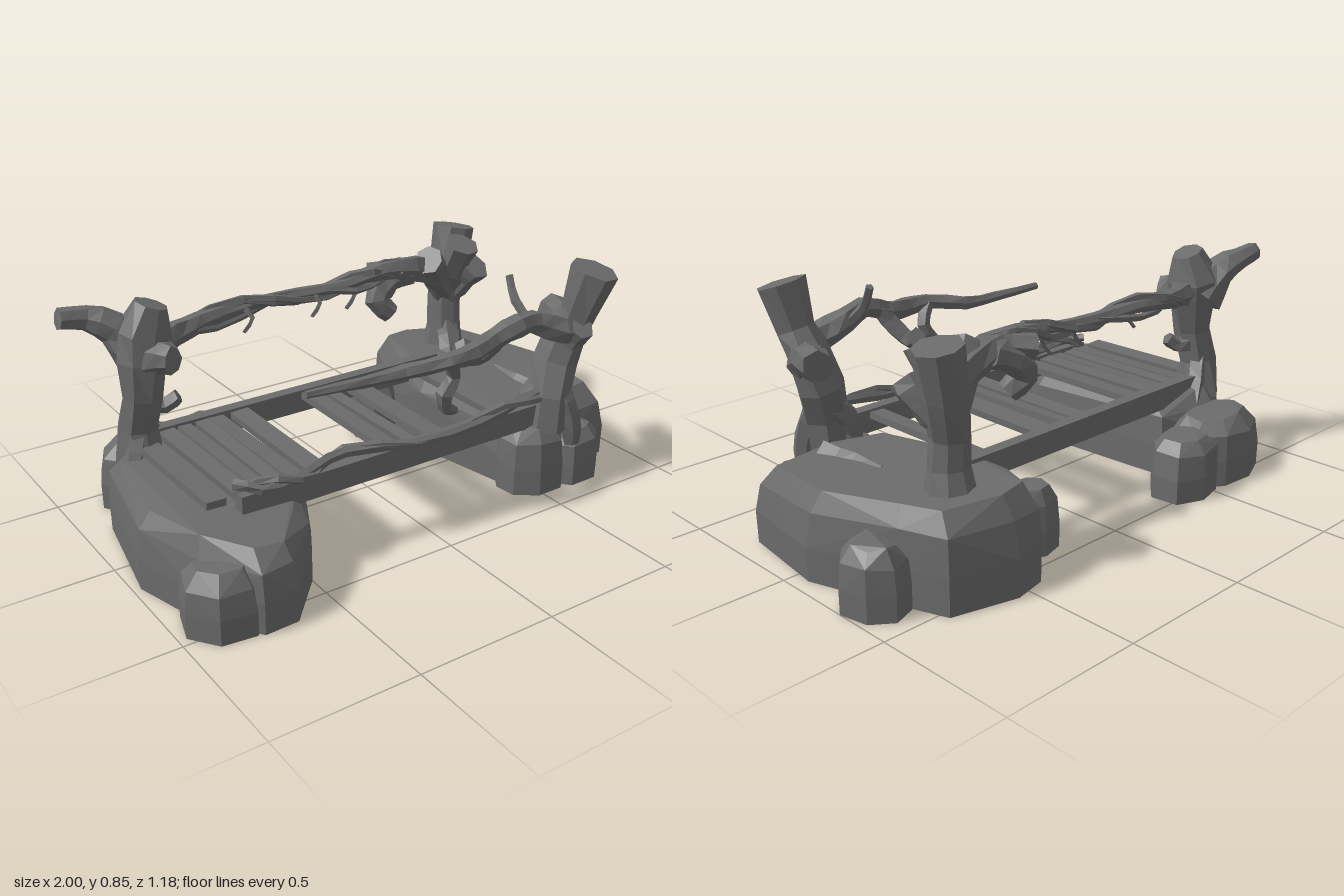
import * as THREE from 'three';
import { ConvexGeometry } from 'three/addons/geometries/ConvexGeometry.js';

export function createModel() {
  const group = new THREE.Group();
  const mat = new THREE.MeshStandardMaterial({ color: 0x6b6b6b, flatShading: true, side: THREE.DoubleSide });
  mat.name = 'stone grey';

  let seed = 7;
  const rnd = () => {
    seed = (seed * 16807) % 2147483647;
    return seed / 2147483647 - 0.5;
  };

  const add = (name, geo) => {
    const mesh = new THREE.Mesh(geo, mat);
    mesh.name = name;
    group.add(mesh);
    return mesh;
  };

  // Faceted hollow rock, open below: hull of rings over a ground outline [x, z]
  function rock(name, outline, h, tilt = 0, topScale = 0.7, shoulder = 0.95) {
    const cx = outline.reduce((s, p) => s + p[0], 0) / outline.length;
    const cz = outline.reduce((s, p) => s + p[1], 0) / outline.length;
    const pts = [];
    for (const [f, s] of [[0, 0.995], [0.4, 1], [0.78, shoulder], [1, topScale]]) {
      for (const [x, z] of outline) {
        const k = s + (s < 0.99 ? rnd() * 0.06 : 0);
        const top = h + tilt * (z - cz) + rnd() * 0.02;
        pts.push(new THREE.Vector3(cx + (x - cx) * k, 0.01 + f * (top - 0.01), cz + (z - cz) * k));
      }
    }
    const hull = new ConvexGeometry(pts).getAttribute('position');
    const kept = [];
    for (let i = 0; i < hull.count; i += 3) {
      const tri = [0, 1, 2].map(j => new THREE.Vector3().fromBufferAttribute(hull, i + j));
      if (tri.some(p => p.y > 0.02)) kept.push(...tri);
    }
    const geo = new THREE.BufferGeometry().setFromPoints(kept);
    geo.computeVertexNormals();
    add(name, geo);
  }

  const boulder = (name, x, z, rx, rz, h, n = 7) => rock(name,
    Array.from({ length: n }, (_, i) => {
      const a = (i / n) * Math.PI * 2 + 0.3, q = 1 + rnd() * 0.12;
      return [x + Math.cos(a) * rx * q, z + Math.sin(a) * rz * q];
    }), h, 0, 0.62, 0.93);

  // Gnarled wood: tapered faceted tube through [x, y, z, radius] points
  function limb(name, path, sides = 6, rough = 0.25, step = 2) {
    const curve = new THREE.CatmullRomCurve3(path.map(p => new THREE.Vector3(p[0], p[1], p[2])));
    const n = (path.length - 1) * step;
    const pos = [], idx = [];
    const u = new THREE.Vector3(), v = new THREE.Vector3();
    for (let i = 0; i <= n; i++) {
      const t = i / n, f = t * (path.length - 1), k = Math.min(Math.floor(f), path.length - 2);
      const r = THREE.MathUtils.lerp(path[k][3], path[k + 1][3], f - k);
      const c = curve.getPoint(t), tan = curve.getTangent(t);
      if (i === 0) u.set(Math.abs(tan.x) > 0.7 ? 0 : 1, 0, Math.abs(tan.x) > 0.7 ? 1 : 0);
      u.addScaledVector(tan, -u.dot(tan)).normalize();
      v.crossVectors(tan, u);
      for (let j = 0; j < sides; j++) {
        const a = (j / sides) * Math.PI * 2, q = r * (1 + rnd() * rough);
        const p = c.clone().addScaledVector(u, Math.cos(a) * q).addScaledVector(v, Math.sin(a) * q);
        pos.push(p.x, p.y, p.z);
      }
    }
    for (let i = 0; i < n; i++) {
      for (let j = 0; j < sides; j++) {
        const a = i * sides + j, b = i * sides + (j + 1) % sides;
        idx.push(a, b, a + sides, b, b + sides, a + sides);
      }
    }
    const last = n * sides;
    for (let j = 1; j < sides - 1; j++) idx.push(0, j + 1, j, last, last + j, last + j + 1);
    const geo = new THREE.BufferGeometry();
    geo.setAttribute('position', new THREE.Float32BufferAttribute(pos, 3));
    geo.setIndex(idx);
    geo.computeVertexNormals();
    add(name, geo);
  }

  // Thin strand winding around a guide path
  function strand(name, guide, r, off, phase, turns) {
    const curve = new THREE.CatmullRomCurve3(guide.map(p => new THREE.Vector3(p[0], p[1], p[2])));
    limb(name, Array.from({ length: 15 }, (_, i) => {
      const p = curve.getPoint(i / 14), a = phase + (i / 14) * turns * Math.PI * 2;
      return [p.x, p.y + Math.cos(a) * off, p.z + Math.sin(a) * off, r];
    }), 5, 0.35, 1);
  }

  // Stone banks
  rock('rightBank', [[-0.975, 0.15], [-0.9, -0.25], [-0.72, -0.4], [-0.47, -0.32], [-0.43, 0.3],
    [-0.5, 0.42], [-0.65, 0.585], [-0.77, 0.59], [-0.9, 0.42]], 0.285, -0.03, 0.82, 0.95);
  boulder('rightBankRock', -0.66, -0.41, 0.21, 0.15, 0.25, 9);
  boulder('rightBankRock', -0.42, -0.45, 0.13, 0.12, 0.23);
  boulder('rightBankRock', -0.84, 0.45, 0.13, 0.13, 0.22);
  rock('leftBank', [[0.35, -0.15], [0.36, -0.42], [0.43, -0.57], [0.55, -0.595], [0.78, -0.535],
    [0.84, -0.38], [0.95, -0.06], [0.91, 0.28], [0.62, 0.33], [0.42, 0.24]], 0.315, -0.05, 0.83, 0.97);
  boulder('leftBankRock', 0.9, -0.33, 0.1, 0.12, 0.23);
  boulder('leftBankRock', 0.29, -0.38, 0.1, 0.09, 0.23);
  boulder('leftBankRock', 0.7, 0.32, 0.13, 0.11, 0.21);
  boulder('leftBankRock', 0.52, 0.3, 0.14, 0.12, 0.26, 8);

  // Deck beams and planks
  const box = (name, w, h, d, x, y, z) => {
    const m = add(name, new THREE.BoxGeometry(w, h, d));
    m.position.set(x, y, z);
    return m;
  };
  box('frontBeam', 1.2, 0.085, 0.045, -0.1, 0.3, 0.32);
  box('backBeam', 1.2, 0.085, 0.045, -0.1, 0.3, -0.265);
  const planks = [[-0.77, 0.07], [-0.67, 0.06], [-0.605, 0.05], [-0.54, 0.05], [-0.48, 0.06],
    [-0.39, 0.07], [-0.1, 0.065], [-0.025, 0.045], [0.08, 0.08], [0.38, 0.06]];
  planks.forEach(([x, w], i) => {
    const p = box('plank', w, 0.025, 0.55, x, 0.32, 0.02 + rnd() * 0.02);
    p.rotation.y = rnd() * 0.05;
    p.rotation.z = (i % 2 ? 1 : -1) * 0.05;
  });
  limb('bankSplinter', [[0.68, 0.29, 0.2, 0.04], [0.66, 0.295, 0.05, 0.03], [0.66, 0.315, -0.08, 0.005]], 4);

  // Front stump with cut top, side stub and roots
  limb('frontStump', [[0.56, 0.24, 0.33, 0.085], [0.57, 0.36, 0.33, 0.08], [0.61, 0.48, 0.305, 0.08],
    [0.645, 0.6, 0.325, 0.075], [0.655, 0.68, 0.36, 0.066], [0.68, 0.835, 0.4, 0.084]], 7, 0.2, 1);
  limb('stumpStub', [[0.64, 0.57, 0.33, 0.07], [0.69, 0.61, 0.25, 0.054], [0.72, 0.61, 0.15, 0.056]], 7);
  limb('root', [[0.58, 0.4, 0.3, 0.055], [0.53, 0.34, 0.29, 0.055], [0.51, 0.25, 0.28, 0.05]], 6);
  limb('root', [[0.6, 0.4, 0.34, 0.05], [0.63, 0.28, 0.38, 0.045], [0.64, 0.17, 0.385, 0.03]], 6);
  limb('stumpKnot', [[0.63, 0.58, 0.36, 0.05], [0.62, 0.64, 0.42, 0.045]], 6);

  // Front railing branch with hanging and upright twigs
  const frontRail = [[0.67, 0.61, 0.35, 0.06], [0.56, 0.63, 0.37, 0.052], [0.46, 0.67, 0.35, 0.042],
    [0.36, 0.69, 0.38, 0.04], [0.26, 0.66, 0.37, 0.036], [0.15, 0.645, 0.4, 0.034],
    [0.04, 0.645, 0.41, 0.03], [-0.1, 0.62, 0.355, 0.025], [-0.25, 0.62, 0.345, 0.02], [-0.46, 0.625, 0.335, 0.014]];
  limb('frontRailBranch', frontRail, 6);
  limb('hangingBranch', [[0.05, 0.64, 0.4, 0.028], [0.09, 0.57, 0.38, 0.026], [0.06, 0.51, 0.37, 0.03],
    [0.075, 0.45, 0.36, 0.026], [0.12, 0.425, 0.35, 0.014]], 5);
  limb('hookBranch', [[0.29, 0.67, 0.37, 0.033], [0.25, 0.6, 0.33, 0.033], [0.23, 0.56, 0.27, 0.03],
    [0.25, 0.59, 0.22, 0.035]], 6);
  limb('uprightTwig', [[0.46, 0.66, 0.34, 0.022], [0.44, 0.73, 0.27, 0.016], [0.445, 0.81, 0.225, 0.014]], 5);

  // Vines lying along the front beam
  const deckVine = [[-0.7, 0.355, 0.29], [-0.62, 0.355, 0.34], [-0.45, 0.355, 0.335], [-0.3, 0.36, 0.31],
    [0.0, 0.36, 0.355], [0.3, 0.365, 0.36], [0.54, 0.38, 0.33]];
  strand('deckVine', deckVine, 0.018, 0.012, 0, 2);
  strand('deckVine', deckVine, 0.014, 0.022, 2.5, 3);

  // Back right stump with bent arm and knots
  limb('backRightStump', [[-0.78, 0.25, -0.23, 0.095], [-0.78, 0.38, -0.23, 0.065], [-0.765, 0.5, -0.21, 0.068],
    [-0.755, 0.62, -0.21, 0.09], [-0.74, 0.71, -0.22, 0.1], [-0.705, 0.81, -0.21, 0.06]], 8, 0.25, 1);
  limb('bentArm', [[-0.75, 0.64, -0.25, 0.085], [-0.82, 0.73, -0.28, 0.06], [-0.9, 0.77, -0.31, 0.042],
    [-0.99, 0.785, -0.31, 0.036]], 7, 0.15);
  limb('stumpKnot', [[-0.76, 0.61, -0.22, 0.07], [-0.73, 0.645, -0.15, 0.066], [-0.7, 0.65, -0.09, 0.045]], 7);
  limb('stumpTwig', [[-0.76, 0.46, -0.23, 0.04], [-0.69, 0.45, -0.2, 0.03], [-0.65, 0.48, -0.18, 0.025]], 5);
  limb('root', [[-0.78, 0.4, -0.23, 0.04], [-0.82, 0.31, -0.18, 0.038], [-0.85, 0.24, -0.15, 0.03]], 5);
  limb('root', [[-0.77, 0.4, -0.24, 0.04], [-0.71, 0.31, -0.28, 0.035], [-0.66, 0.24, -0.31, 0.03]], 5);

  // Back left stump splitting into cut arms
  limb('backLeftStump', [[0.63, 0.26, -0.38, 0.09], [0.63, 0.4, -0.37, 0.065], [0.63, 0.5, -0.375, 0.06],
    [0.66, 0.64, -0.395, 0.075], [0.69, 0.8, -0.4, 0.082]], 8, 0.2, 1);
  limb('cutArm', [[0.64, 0.54, -0.37, 0.06], [0.62, 0.65, -0.32, 0.062], [0.63, 0.765, -0.27, 0.065]], 7);
  limb('cutArm', [[0.64, 0.53, -0.37, 0.055], [0.54, 0.66, -0.32, 0.06], [0.47, 0.73, -0.27, 0.055]], 7);
  limb('cutArm', [[0.64, 0.54, -0.37, 0.05], [0.68, 0.61, -0.31, 0.055], [0.69, 0.67, -0.26, 0.058]], 6);
  limb('root', [[0.63, 0.42, -0.36, 0.05], [0.6, 0.32, -0.29, 0.045], [0.58, 0.26, -0.24, 0.03]], 6);

  // Back railing: a main branch wrapped by thinner strands
  const backRail = [[-0.74, 0.65, -0.2, 0.055], [-0.62, 0.67, -0.25, 0.046], [-0.5, 0.68, -0.29, 0.034],
    [-0.3, 0.7, -0.3, 0.024], [-0.1, 0.695, -0.3, 0.024], [0.1, 0.7, -0.28, 0.024],
    [0.25, 0.72, -0.29, 0.034], [0.4, 0.7, -0.3, 0.052], [0.6, 0.64, -0.35, 0.06]];
  limb('backRailBranch', backRail, 6);
  strand('railVine', backRail, 0.017, 0.025, 0, 3);
  strand('railVine', backRail, 0.014, 0.03, 2.1, 2);
  strand('railVine', backRail.map(p => [p[0], p[1] - 0.02, p[2]]), 0.013, 0.025, 4.2, 2.5);
  limb('railKnob', [[0.4, 0.69, -0.31, 0.055], [0.32, 0.66, -0.33, 0.05], [0.26, 0.59, -0.32, 0.052],
    [0.31, 0.54, -0.29, 0.04]], 7);
  limb('railKnob', [[0.36, 0.71, -0.29, 0.045], [0.25, 0.69, -0.36, 0.045]], 6);
  for (const x of [-0.33, -0.05, 0.1]) {
    limb('railTwig', [[x, 0.7, -0.29, 0.014], [x + 0.02, 0.66, -0.26, 0.01], [x - 0.01, 0.61, -0.27, 0.008]], 4);
  }
  return group;
}
